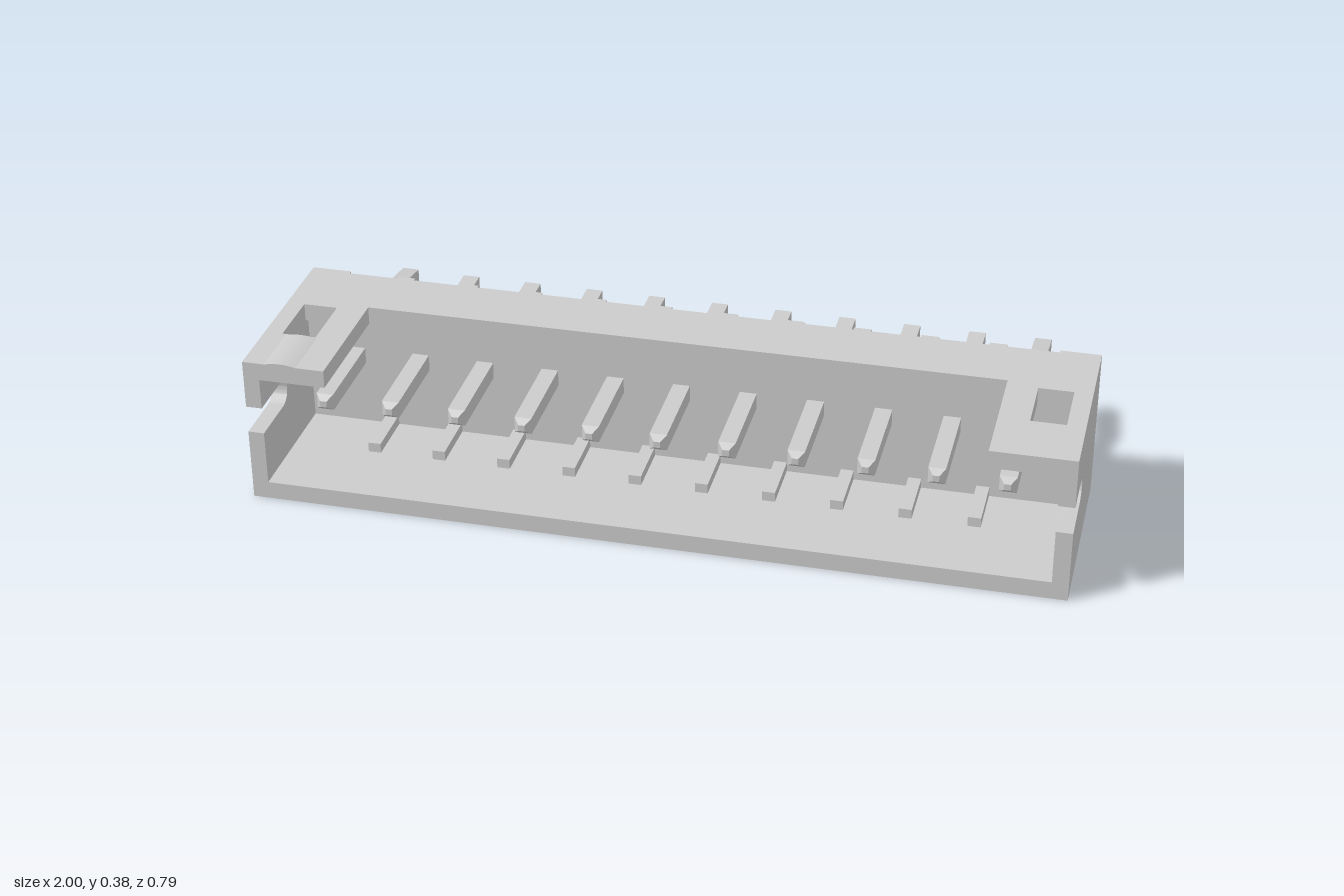
import * as THREE from 'three';
import { toCreasedNormals } from 'three/addons/utils/BufferGeometryUtils.js';

const material = new THREE.MeshStandardMaterial({ color: 0xcccccc });
const COUNT = 11, PITCH = 0.167;
const CAVITY_BACK = 0.055, FRONT = 0.395, HEIGHT = 0.378, ROOF = 0.333, FLOOR = 0.045, INNER = 0.96;

const shapeOf = pts => new THREE.Shape(pts.map(p => new THREE.Vector2(p[0], p[1])));

function add(parent, name, geometry) {
  const mesh = new THREE.Mesh(geometry, material);
  mesh.name = name;
  parent.add(mesh);
  return mesh;
}

// box given by its extents
function block(x0, x1, y0, y1, z0, z1) {
  return new THREE.BoxGeometry(x1 - x0, y1 - y0, z1 - z0)
    .translate((x0 + x1) / 2, (y0 + y1) / 2, (z0 + z1) / 2);
}

// plan outline in (x, z) extruded from y0 up to y1
function planExtrude(shape, y0, y1) {
  return new THREE.ExtrudeGeometry(shape, { depth: y1 - y0, bevelEnabled: false })
    .rotateX(Math.PI / 2).translate(0, y1, 0);
}

// square bar lofted front to back through [z, y, halfX, halfY] sections
function loftPin(sections) {
  const pos = [], idx = [];
  for (const [z, y, w, h] of sections)
    pos.push(-w, y - h, z, w, y - h, z, w, y + h, z, -w, y + h, z);
  for (let s = 0; s < sections.length - 1; s++)
    for (let k = 0; k < 4; k++) {
      const a = s * 4 + k, b = s * 4 + (k + 1) % 4;
      idx.push(a, a + 4, b, b, a + 4, b + 4);
    }
  const e = (sections.length - 1) * 4;
  idx.push(0, 1, 2, 0, 2, 3, e, e + 2, e + 1, e, e + 3, e + 2);
  const g = new THREE.BufferGeometry();
  g.setAttribute('position', new THREE.Float32BufferAttribute(pos, 3));
  g.setIndex(idx);
  const flat = g.toNonIndexed();
  flat.computeVertexNormals();
  return flat;
}

export function createModel() {
  const model = new THREE.Group();
  model.name = 'pinHeader';
  const housing = new THREE.Group();
  housing.name = 'housing';
  model.add(housing);

  // x positions midway between neighbouring pins
  const gaps = Array.from({ length: COUNT - 1 }, (_, i) => (i - (COUNT - 2) / 2) * PITCH);

  // back wall with shallow recessed panels separated by vertical ribs
  const outer = -0.108, panel = -0.098, rib = 0.022;
  const plan = [[-1, CAVITY_BACK], [-1, outer], [-0.9, outer], [-0.9, panel]];
  for (const x of gaps)
    plan.push([x - rib, panel], [x - rib, outer], [x + rib, outer], [x + rib, panel]);
  plan.push([0.9, panel], [0.9, outer], [1, outer], [1, CAVITY_BACK]);
  add(housing, 'backWall', planExtrude(shapeOf(plan), 0, HEIGHT));

  add(housing, 'floor', block(-INNER, INNER, 0, FLOOR, CAVITY_BACK, FRONT));

  // side walls with a round-ended slot open to the front
  const side = new THREE.Shape();
  side.moveTo(CAVITY_BACK, 0);
  side.lineTo(FRONT, 0);
  side.lineTo(FRONT, 0.184);
  side.lineTo(0.262, 0.184);
  side.absarc(0.262, 0.219, 0.035, -Math.PI / 2, Math.PI / 2, true);
  side.lineTo(FRONT, 0.254);
  side.lineTo(FRONT, HEIGHT);
  side.lineTo(CAVITY_BACK, HEIGHT);
  const sideGeometry = toCreasedNormals(
    new THREE.ExtrudeGeometry(side, { depth: 1 - INNER, bevelEnabled: false, curveSegments: 16 })
      .rotateY(-Math.PI / 2), 0.6);
  add(housing, 'leftWall', sideGeometry).position.x = 1;
  add(housing, 'rightWall', sideGeometry).position.x = -INNER;

  // roof: wide front cutout leaving two arms, each with a window
  const roof = shapeOf([[-INNER, CAVITY_BACK], [INNER, CAVITY_BACK], [INNER, FRONT], [0.795, FRONT],
    [0.795, 0.065], [-0.795, 0.065], [-0.795, FRONT], [-INNER, FRONT]]);
  for (const s of [-1, 1])
    roof.holes.push(new THREE.Path([[0.87, 0.085], [0.955, 0.085], [0.955, 0.24], [0.87, 0.24]]
      .map(([x, z]) => new THREE.Vector2(s * x, z))));
  add(housing, 'roof', planExtrude(roof, ROOF, HEIGHT));

  // low rounded ridge marking the first pin
  const ridge = new THREE.Shape();
  ridge.moveTo(-0.04, 0);
  ridge.lineTo(0.04, 0);
  ridge.quadraticCurveTo(0, 0.01, -0.04, 0);
  add(housing, 'firstPinRidge',
    new THREE.ExtrudeGeometry(ridge, { depth: FRONT - 0.245, bevelEnabled: false, curveSegments: 8 })
      .translate(-0.905, HEIGHT, 0.245));

  // small ribs on the cavity floor
  const floorRib = block(-0.016, 0.016, FLOOR - 0.005, 0.07, CAVITY_BACK - 0.005, 0.2);
  for (const x of gaps) add(housing, 'floorRib', floorRib).position.x = x;

  // pins: straight inside, kinked tails on the two end pins
  const y = 0.234, h = 0.021;
  const front = [[0.31, y, 0.008, 0.008], [0.295, y, h, h]];
  const tail = [[-0.377, y, h, h], [-0.394, y, 0.007, 0.007]];
  const straightPin = loftPin([...front, ...tail]);
  const kinkedPin = loftPin([...front, [-0.185, y, h, h], [-0.235, 0.26, h, h],
    [-0.377, 0.236, h, h], tail[1]]);
  for (let i = 0; i < COUNT; i++) {
    const end = i === 0 || i === COUNT - 1;
    add(model, end ? 'kinkedPin' : 'straightPin', end ? kinkedPin : straightPin)
      .position.x = (i - (COUNT - 1) / 2) * PITCH;
  }
  return model;
}
